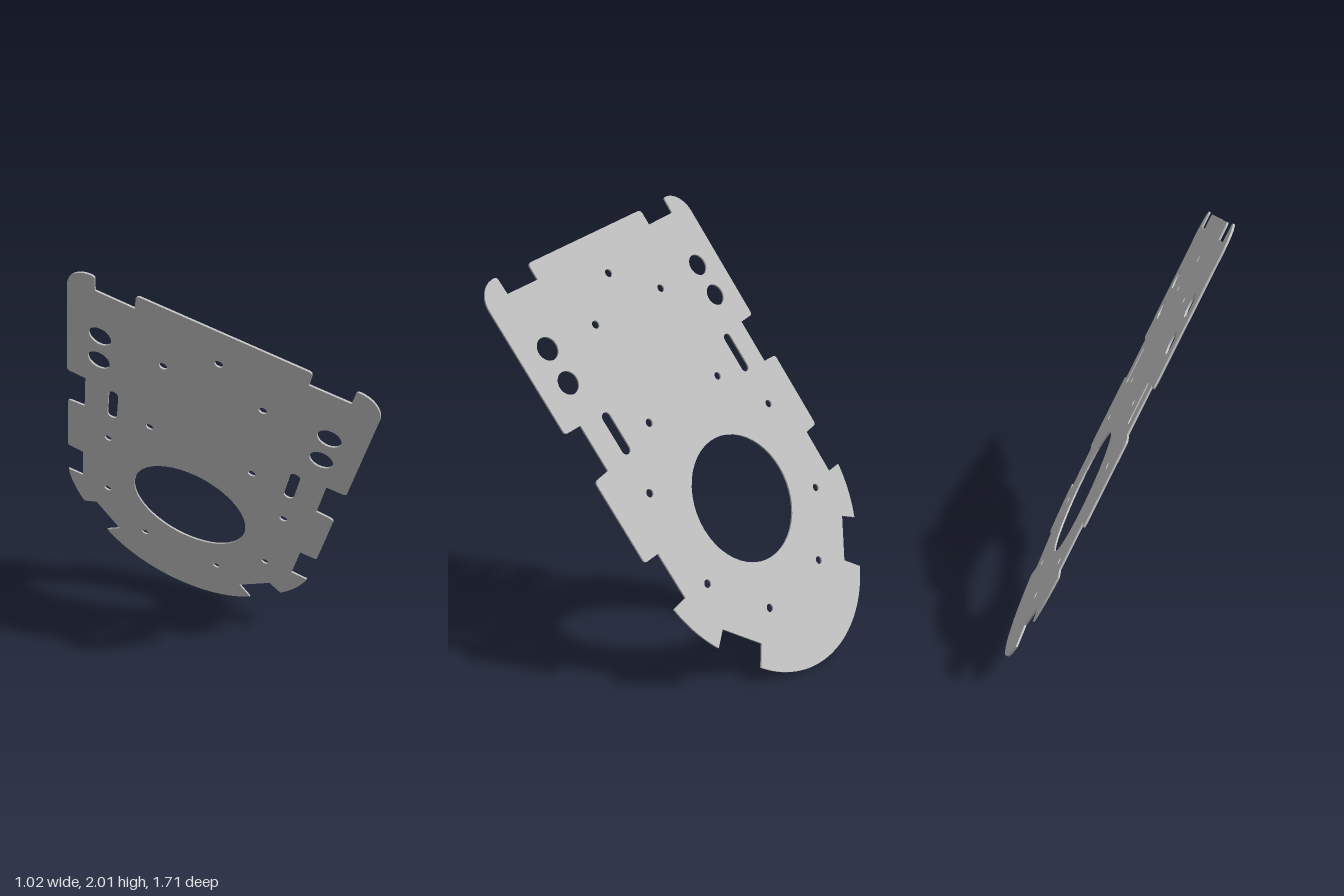
import * as THREE from 'three';

// Right half of the plate outline, bottom centre to top edge; u across, v up the plate
function halfOutline() {
  const p = new THREE.Path();
  const lines = (pts) => pts.forEach(([u, v]) => p.lineTo(u, v));
  p.moveTo(0, -0.797);
  p.absarc(0, -0.262, 0.535, -Math.PI / 2, -0.70, false);          // rounded foot
  lines([[0.34, -0.533], [0.478, -0.37]]);                         // slanted notch
  p.absarc(0, -0.075, 0.644, -0.559, -0.148, false);               // curved side
  lines([[0.558, -0.167], [0.56, 0.047], [0.625, 0.05]]);          // lower notch
  p.quadraticCurveTo(0.641, 0.05, 0.641, 0.066);
  p.lineTo(0.641, 0.412);
  p.quadraticCurveTo(0.641, 0.43, 0.623, 0.432);
  lines([[0.558, 0.437], [0.558, 0.648], [0.628, 0.65]]);          // upper notch
  p.quadraticCurveTo(0.646, 0.65, 0.646, 0.668);
  p.lineTo(0.646, 1.21);
  p.bezierCurveTo(0.645, 1.27, 0.6, 1.316, 0.545, 1.318);          // rounded ear
  p.quadraticCurveTo(0.528, 1.318, 0.529, 1.3);
  lines([[0.527, 1.24], [0.358, 1.238], [0.358, 1.295]]);          // top notch
  p.quadraticCurveTo(0.356, 1.313, 0.34, 1.313);
  return p.getPoints(16);
}

function roundHole(u, v, r) {
  return new THREE.Path().absarc(u, v, r, 0, Math.PI * 2, true);
}

function slot(u, v0, v1, r) {
  const p = new THREE.Path();
  p.absarc(u, v1, r, 0, Math.PI, false);
  p.absarc(u, v0, r, Math.PI, Math.PI * 2, false);
  p.closePath();
  return p;
}

export function createModel() {
  const group = new THREE.Group();
  const grey = new THREE.MeshStandardMaterial({ color: 0xc0c0c0 });
  grey.name = 'plate grey';

  // Mirror the half outline
  const right = halfOutline();
  const left = right.slice(1).reverse().map((q) => new THREE.Vector2(-q.x, q.y));
  const shape = new THREE.Shape([...right, ...left]);

  // Central opening and the single top screw hole
  shape.holes.push(roundHole(0, 0, 0.287), roundHole(-0.005, 1.13, 0.018));
  // Mirrored pairs: screw holes, large holes and slots
  const screws = [[0.217, 0.966], [0.243, 0.503], [0.435, 0.264], [0.422, -0.183], [0.199, -0.446]];
  for (const s of [-1, 1]) {
    for (const [u, v] of screws) shape.holes.push(roundHole(s * u, v, 0.018));
    for (const v of [0.818, 0.976]) shape.holes.push(roundHole(s * 0.498, v, 0.05));
    shape.holes.push(slot(s * 0.423, 0.468, 0.618, 0.023));
  }

  const thickness = 0.008;
  const geo = new THREE.ExtrudeGeometry(shape, { depth: thickness, bevelEnabled: false, curveSegments: 24 });
  geo.translate(0, 0, -thickness / 2);

  // Tilt the plate into place
  const n = new THREE.Vector3(1, 0.53, -0.53).normalize();
  const u = new THREE.Vector3(-0.2, 0.855, 0.477).cross(n).normalize();
  const v = new THREE.Vector3().crossVectors(n, u);
  const plate = new THREE.Mesh(geo, grey);
  plate.name = 'mountingPlate';
  plate.quaternion.setFromRotationMatrix(new THREE.Matrix4().makeBasis(u, v, n));
  plate.position.set(0.102, 0.71, -0.228);
  group.add(plate);
  return group;
}
